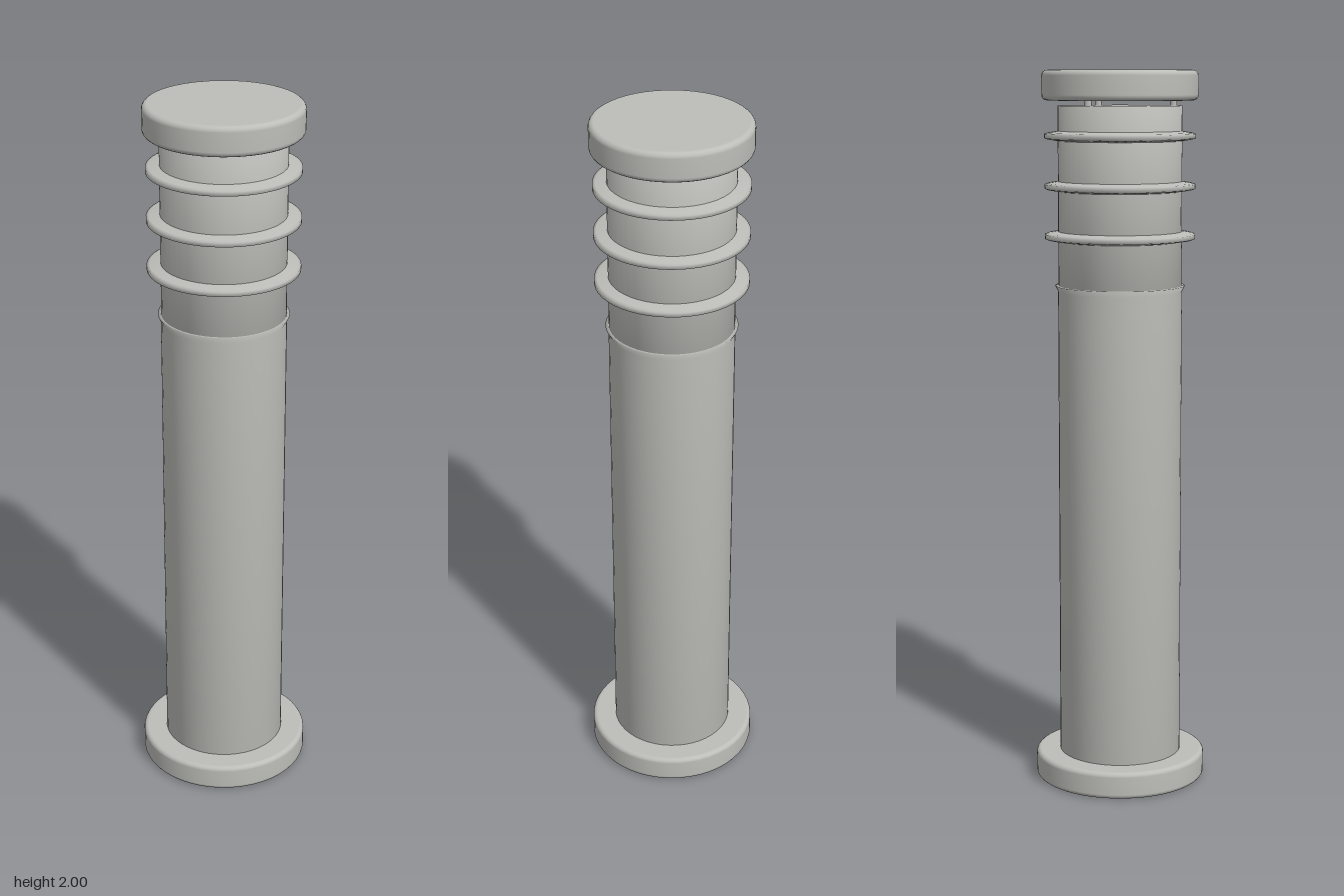
import * as THREE from 'three';

const SEGMENTS = 48;

export function createModel() {
  const group = new THREE.Group();
  const metal = new THREE.MeshStandardMaterial({ color: 0xbdbdb9 });
  metal.name = 'light grey metal';

  // Turned part from a profile of [radius, height], listed bottom to top
  const turned = (name, profile) => {
    const points = profile.map(([r, y]) => new THREE.Vector2(r, y));
    const mesh = new THREE.Mesh(new THREE.LatheGeometry(points, SEGMENTS), metal);
    mesh.name = name;
    group.add(mesh);
    return mesh;
  };

  // Disc with rounded rims
  const roundedDisc = (name, radius, y0, y1, b) => {
    const profile = [[0, y0]];
    for (let i = 0; i <= 4; i++) {
      const a = (i / 4) * Math.PI / 2;
      profile.push([radius - b + b * Math.sin(a), y0 + b - b * Math.cos(a)]);
    }
    for (let i = 0; i <= 4; i++) {
      const a = (i / 4) * Math.PI / 2;
      profile.push([radius - b + b * Math.cos(a), y1 - b + b * Math.sin(a)]);
    }
    profile.push([0, y1]);
    return turned(name, profile);
  };

  roundedDisc('base', 0.24, 0, 0.076, 0.013);
  roundedDisc('cap', 0.215, 1.918, 2, 0.015);

  // Post with a small flared lip, and the lamp tube above it
  turned('post', [[0, 0.06], [0.172, 0.06], [0.172, 1.395], [0.18, 1.412], [0.17, 1.412]]);
  turned('lampTube', [[0, 1.4], [0.171, 1.4], [0.171, 1.904], [0, 1.904]]);

  // Louvre rings, thinner towards the rim
  [1.548, 1.685, 1.822].forEach((y, i) => {
    turned(`louvreRing${i + 1}`, [
      [0.168, y - 0.014], [0.2, y - 0.009], [0.208, y - 0.006],
      [0.208, y + 0.006], [0.2, y + 0.009], [0.168, y + 0.014],
    ]);
  });

  // Three pins carrying the cap
  for (let i = 0; i < 3; i++) {
    const a = (i / 3) * Math.PI * 2;
    const pin = new THREE.Mesh(new THREE.CylinderGeometry(0.009, 0.009, 0.04, 12), metal);
    pin.position.set(0.147 * Math.cos(a), 1.911, 0.147 * Math.sin(a));
    pin.name = `capPin${i + 1}`;
    group.add(pin);
  }

  return group;
}
